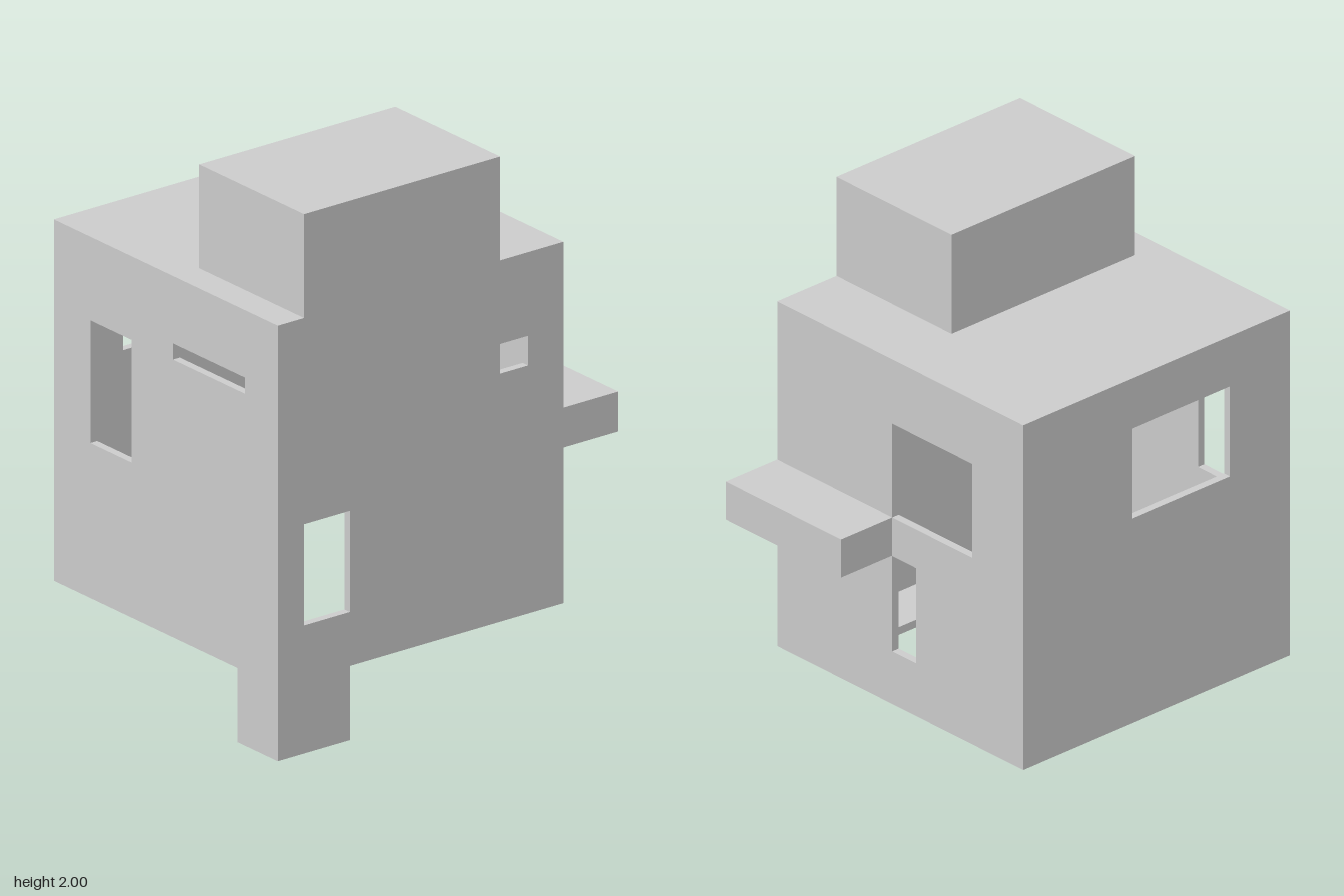
import * as THREE from 'three';

const W = 0.623;              // half width
const F = 0.745, B = -0.505;  // front and back faces of the main block
const Y0 = 0.275, Y1 = 1.615; // underside and roof of the main block
const T = 0.03;               // wall thickness

export function createModel() {
  const group = new THREE.Group();
  const material = new THREE.MeshStandardMaterial({ color: 0xcccccc, flatShading: true });

  const add = (name, geometry) => {
    const mesh = new THREE.Mesh(geometry, material);
    mesh.name = name;
    group.add(mesh);
  };

  const box = (name, x0, x1, y0, y1, z0, z1) => {
    const g = new THREE.BoxGeometry(x1 - x0, y1 - y0, z1 - z0);
    add(name, g.translate((x0 + x1) / 2, (y0 + y1) / 2, (z0 + z1) / 2));
  };

  const rect = (a0, a1, b0, b1) => [[a0, b0], [a1, b0], [a1, b1], [a0, b1]];
  const toPoints = (list) => list.map(([a, b]) => new THREE.Vector2(a, b));

  // Flat slab of wall thickness with rectangular openings
  const slab = (outline, openings = []) => {
    const shape = new THREE.Shape(toPoints(outline));
    for (const o of openings) shape.holes.push(new THREE.Path(toPoints(rect(...o)).reverse()));
    return new THREE.ExtrudeGeometry(shape, { depth: T, bevelEnabled: false });
  };
  // Slabs drawn in (x, y), (z, y) and (x, z), placed by their outer face
  const wallZ = (name, z, outline, openings) => add(name, slab(outline, openings).translate(0, 0, z));
  const wallX = (name, x, outline, openings) =>
    add(name, slab(outline, openings).rotateY(-Math.PI / 2).translate(x, 0, 0));
  const deck = (name, y, outline, openings) =>
    add(name, slab(outline, openings).rotateX(Math.PI / 2).translate(0, y, 0));

  // Front wall runs down into the leg; tall window and narrow slot
  const inner = W - T;
  wallZ('frontWall', F - T,
    [[-inner, Y0], [0.4, Y0], [0.4, 0], [inner, 0], [inner, Y1 - T], [-inner, Y1 - T]],
    [[-0.42, -0.19, 0.85, 1.305], [0.04, 0.44, 1.305, 1.365]]);

  // Back wall with windows above and below the ledge
  wallZ('backWall', B, rect(-inner, inner, Y0, Y1 - T),
    [[-0.365, 0.04, 1.0, 1.365], [-0.08, 0.04, 0.48, 0.85]]);

  // Left wall includes the sides of the leg and the rooftop block
  wallX('leftWall', W,
    [[B, Y0], [0.43, Y0], [0.43, 0], [F, 0], [F, Y1], [0.63, Y1],
      [0.63, 2], [-0.228, 2], [-0.228, Y1], [B, Y1]],
    [[0.43, 0.63, 0.475, 0.85], [-0.35, -0.228, 1.195, 1.305]]);

  // Right wall with one wide window
  wallX('rightWall', -W + T, rect(B, F, Y0, Y1 - T), [[0.005, 0.465, 1.07, 1.42]]);

  // Roof, open below the rooftop block
  deck('roof', Y1, rect(-W, inner, B, F), [[0.07, inner - 0.001, -0.198, 0.6]]);

  // Rooftop block
  wallX('rooftopSide', 0.07, rect(-0.228, 0.63, Y1, 2 - T));
  wallZ('rooftopFront', 0.6, rect(0.07, inner, Y1, 2 - T));
  wallZ('rooftopBack', -0.228, rect(0.07, inner, Y1, 2 - T));
  deck('rooftopTop', 2, rect(0.04, inner, -0.228, 0.63));

  // Floor strip along the left wall; the rest of the underside is open
  box('floorStrip', 0.4, inner, Y0, Y0 + T, B + T, 0.43 + T);

  // Corner leg
  box('legBack', 0.4, inner, 0, Y0, 0.43, 0.43 + T);
  box('legSide', 0.4, 0.4 + T, 0, Y0 + T, 0.43 + T, F - T);
  box('legFoot', 0.4 + T, inner, 0, T, 0.43 + T, F - T);

  // Ledge on the back
  box('ledge', 0.04, W, 0.852, 1.0, -F, B);

  return group;
}
